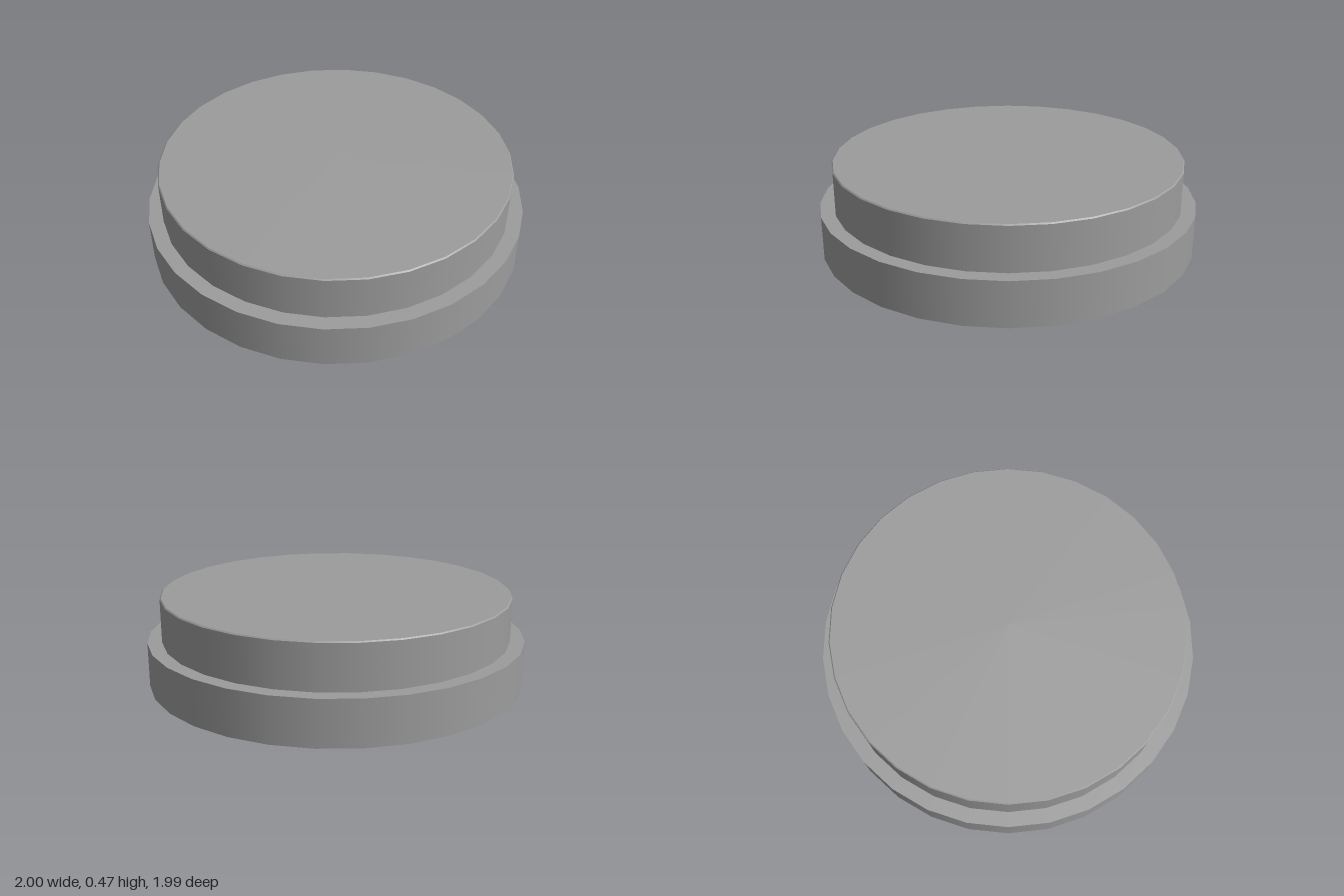
import * as THREE from 'three';

const SIDES = 30;
const OUTER = 1, INNER = 0.925;
const STEP = 0.235, TOP = 0.47, BEVEL = 0.006;

export function createModel() {
  const model = new THREE.Group();
  model.name = 'steppedCap';
  const material = new THREE.MeshStandardMaterial({ color: 0x9c9c9c, side: THREE.DoubleSide });

  function add(name, geometry, y) {
    const mesh = new THREE.Mesh(geometry, material);
    mesh.name = name;
    mesh.position.y = y;
    model.add(mesh);
  }

  // Open band from y = 0 upwards, with a corner on the x axis
  const band = (topRadius, bottomRadius, height) =>
    new THREE.CylinderGeometry(topRadius, bottomRadius, height, SIDES, 1, true, Math.PI / 2)
      .translate(0, height / 2, 0);

  // Thin hollow shell, open at the bottom
  add('lowerWall', band(OUTER, OUTER, STEP), 0);
  add('stepLedge', new THREE.RingGeometry(INNER, OUTER, SIDES).rotateX(-Math.PI / 2), STEP);
  add('upperWall', band(INNER, INNER, TOP - BEVEL - STEP), STEP);
  // Fine bevel around the top
  add('topBevel', band(INNER - BEVEL, INNER, BEVEL), TOP - BEVEL);
  add('topPlate', new THREE.CircleGeometry(INNER - BEVEL, SIDES).rotateX(-Math.PI / 2), TOP);

  return model;
}
